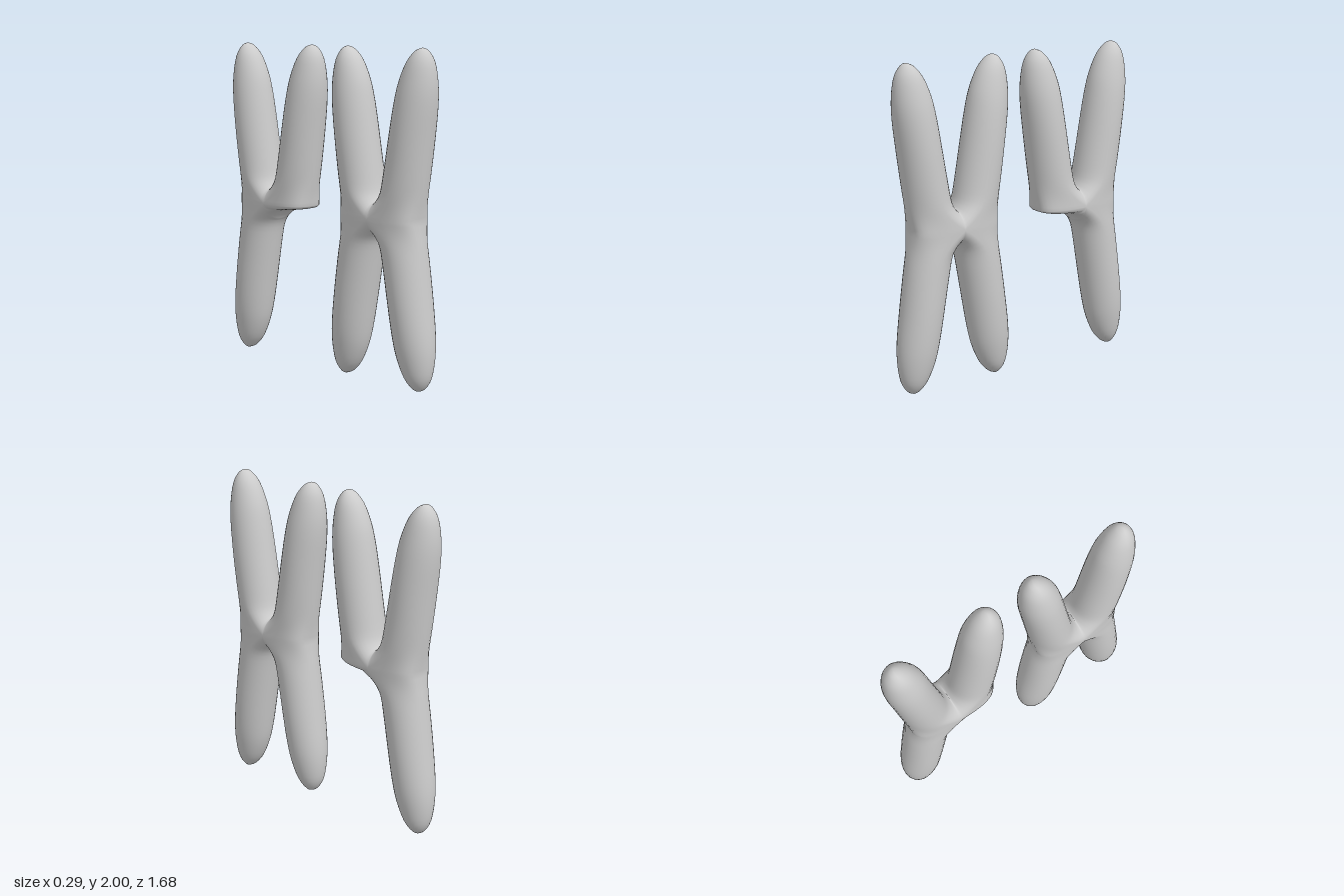
import * as THREE from 'three';
import { mergeGeometries, mergeVertices } from 'three/addons/utils/BufferGeometryUtils.js';

// Each row is one ring, measured from the middle of the waist (u along z, v along y):
// [outer u, outer v, inner u, inner v, middle u, middle v, half width in x, squareness of outer half]
const ARM = [
  [0.29, 0, 0, 0.11, 0, 0, 0.145, 3.2],
  [0.298, 0.07, 0.01, 0.122, 0.08, 0.06, 0.143, 2.5],
  [0.31, 0.15, 0.03, 0.17, 0.155, 0.15, 0.141, 2],
  [0.328, 0.28, 0.055, 0.3, 0.19, 0.29, 0.14, 2],
  [0.355, 0.48, 0.09, 0.5, 0.225, 0.49, 0.138, 2],
  [0.38, 0.67, 0.12, 0.67, 0.25, 0.67, 0.129, 2],
  [0.385, 0.8, 0.15, 0.8, 0.268, 0.8, 0.112, 2],
  [0.37, 0.915, 0.2, 0.915, 0.285, 0.92, 0.082, 2],
  [0.335, 0.98, 0.255, 0.98, 0.295, 0.985, 0.04, 2],
  [0.3, 1, 0.3, 1, 0.3, 1, 0, 2],
];

// Shallow rounded end that closes the waist where an arm is missing
const STUB = [
  [0.29, 0, 0, 0.11, 0, 0, 0.145, 3.2],
  [0.277, 0.014, 0.02, 0.082, 0.03, 0.025, 0.135, 2.9],
  [0.24, 0.022, 0.06, 0.05, 0.09, 0.032, 0.1, 2.4],
  [0.15, 0.033, 0.15, 0.033, 0.15, 0.033, 0, 2],
];

const SEGMENTS = 32;

// Skins a limb through its rings; su and sv mirror it along z and y
function limb(rows, su, sv) {
  const curve = (pick) => new THREE.CatmullRomCurve3(
    rows.map((r) => new THREE.Vector3(...pick(r))), false, 'catmullrom', 0.5);
  const outer = curve((r) => [r[0], r[1], r[6]]);
  const inner = curve((r) => [r[2], r[3], r[7]]);
  const middle = curve((r) => [r[4], r[5], 0]);
  const steps = (rows.length - 1) * 3;
  const positions = [];
  const indices = [];

  for (let i = 0; i <= steps; i++) {
    const o = outer.getPoint(i / steps);
    const n = inner.getPoint(i / steps);
    const m = middle.getPoint(i / steps);
    for (let j = 0; j < SEGMENTS; j++) {
      const angle = (j / SEGMENTS) * Math.PI * 2;
      const isOuter = j <= SEGMENTS / 2;
      const power = isOuter ? 2 / n.z : 1;
      const c = Math.cos(angle);
      const x = o.z * Math.sign(c) * Math.abs(c) ** power;
      const s = j % (SEGMENTS / 2) === 0 ? 0 : Math.abs(Math.sin(angle)) ** power;
      const edge = isOuter ? o : n;
      positions.push(
        x,
        1 + sv * (m.y + (edge.y - m.y) * s),
        su * (m.x + (edge.x - m.x) * s),
      );
    }
  }

  for (let i = 0; i < steps; i++) {
    for (let j = 0; j < SEGMENTS; j++) {
      const a = i * SEGMENTS + j;
      const b = i * SEGMENTS + (j + 1) % SEGMENTS;
      const c = a + SEGMENTS;
      const d = b + SEGMENTS;
      if (su * sv > 0) indices.push(a, c, b, b, c, d);
      else indices.push(a, b, c, b, d, c);
    }
  }

  const geometry = new THREE.BufferGeometry();
  geometry.setAttribute('position', new THREE.Float32BufferAttribute(positions, 3));
  geometry.setIndex(indices);
  return geometry;
}

// Joins four limbs at the waist into one smooth skin
function chromosome(name, z, frontLowerRows, material) {
  const geometry = mergeVertices(mergeGeometries([
    limb(ARM, 1, 1),
    limb(ARM, -1, 1),
    limb(ARM, -1, -1),
    limb(frontLowerRows, 1, -1),
  ]), 1e-4);
  geometry.computeVertexNormals();
  const mesh = new THREE.Mesh(geometry, material);
  mesh.name = name;
  mesh.position.z = z;
  return mesh;
}

export function createModel() {
  const group = new THREE.Group();
  group.name = 'chromosomePair';
  const material = new THREE.MeshStandardMaterial({ color: 0xcccccc });
  group.add(
    chromosome('fourArmedChromosome', 0.455, ARM, material),
    chromosome('threeArmedChromosome', -0.455, STUB, material),
  );
  return group;
}
